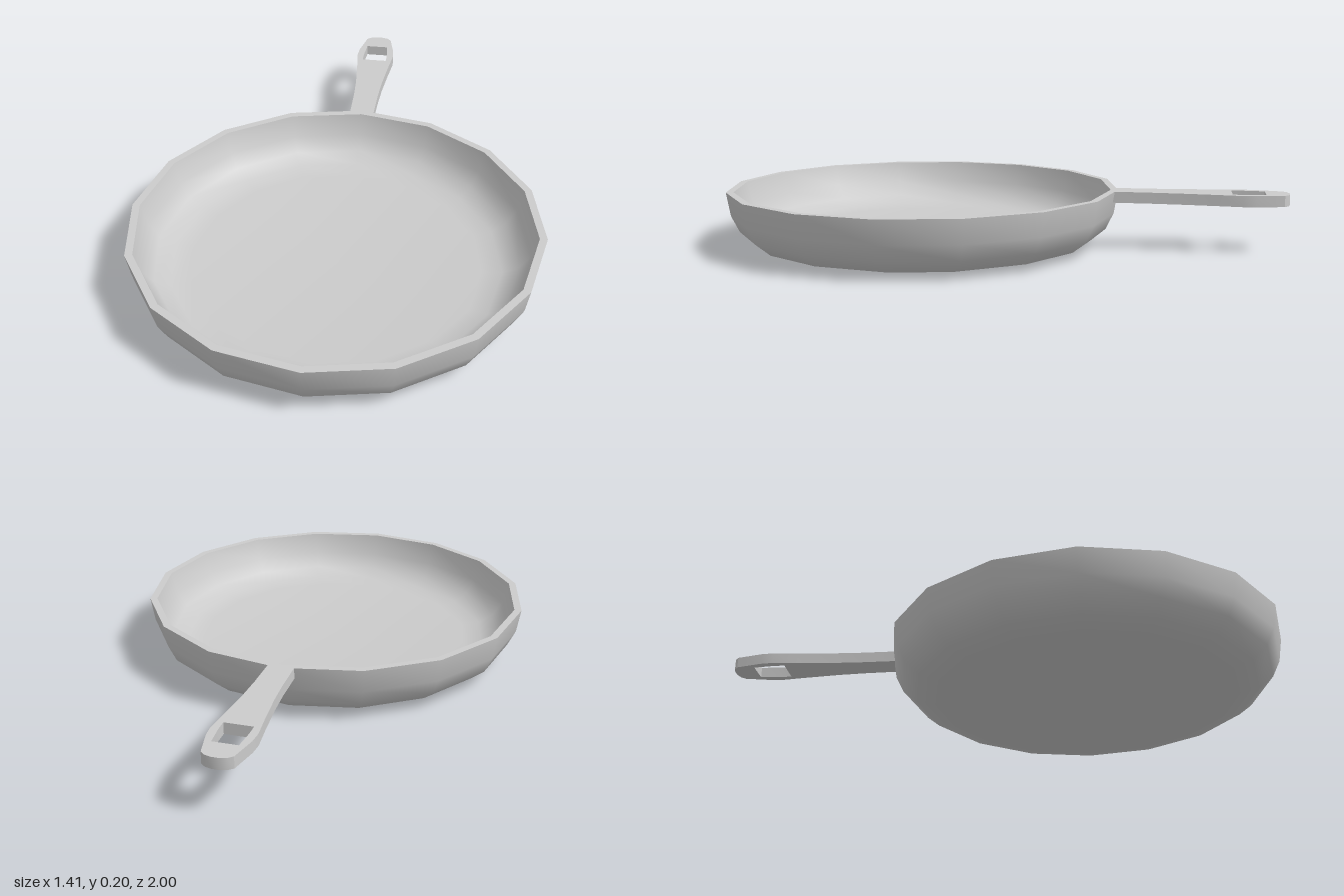
import * as THREE from 'three';
import { toCreasedNormals } from 'three/addons/utils/BufferGeometryUtils.js';

const material = new THREE.MeshStandardMaterial({ color: 0xcccccc });
const points = (list) => list.map(([x, y]) => new THREE.Vector2(x, y));

function addPart(group, name, geometry, creaseAngle) {
  const mesh = new THREE.Mesh(toCreasedNormals(geometry, creaseAngle), material);
  mesh.name = name;
  group.add(mesh);
  return mesh;
}

export function createModel() {
  const group = new THREE.Group();
  group.name = 'fryingPan';

  // Pan body: 16-sided bowl, profile runs up the outside, over the rim and down the inside
  const profile = points([
    [0, 0], [0.53, 0], [0.61, 0.02], [0.661, 0.062], [0.689, 0.12], [0.703, 0.204],
    [0.677, 0.204], [0.656, 0.125], [0.62, 0.074], [0.567, 0.046], [0.5, 0.037], [0, 0.037],
  ]);
  const pan = addPart(group, 'panBody', new THREE.LatheGeometry(profile, 16), 1);
  pan.position.z = 0.297;

  // Handle: half widths along its length, mirrored into a closed outline
  const half = [
    [0.045, 0.385], [0.047, 0.52], [0.052, 0.62], [0.064, 0.75], [0.074, 0.84],
    [0.071, 0.885], [0.05, 0.98], [0.034, 0.994], [0.012, 1],
  ];
  const mirrored = half.map(([x, y]) => [-x, y]).reverse();
  const outline = new THREE.Shape(points([...half, ...mirrored]));

  // Hanging hole
  outline.holes.push(new THREE.Path(points([
    [-0.048, 0.803], [-0.048, 0.845], [-0.042, 0.918],
    [0.042, 0.918], [0.048, 0.845], [0.048, 0.803],
  ])));

  const handle = new THREE.ExtrudeGeometry(outline, { depth: 0.039, bevelEnabled: false });
  handle.rotateX(-Math.PI / 2);
  addPart(group, 'handle', handle, 0.5).position.y = 0.165;

  return group;
}
